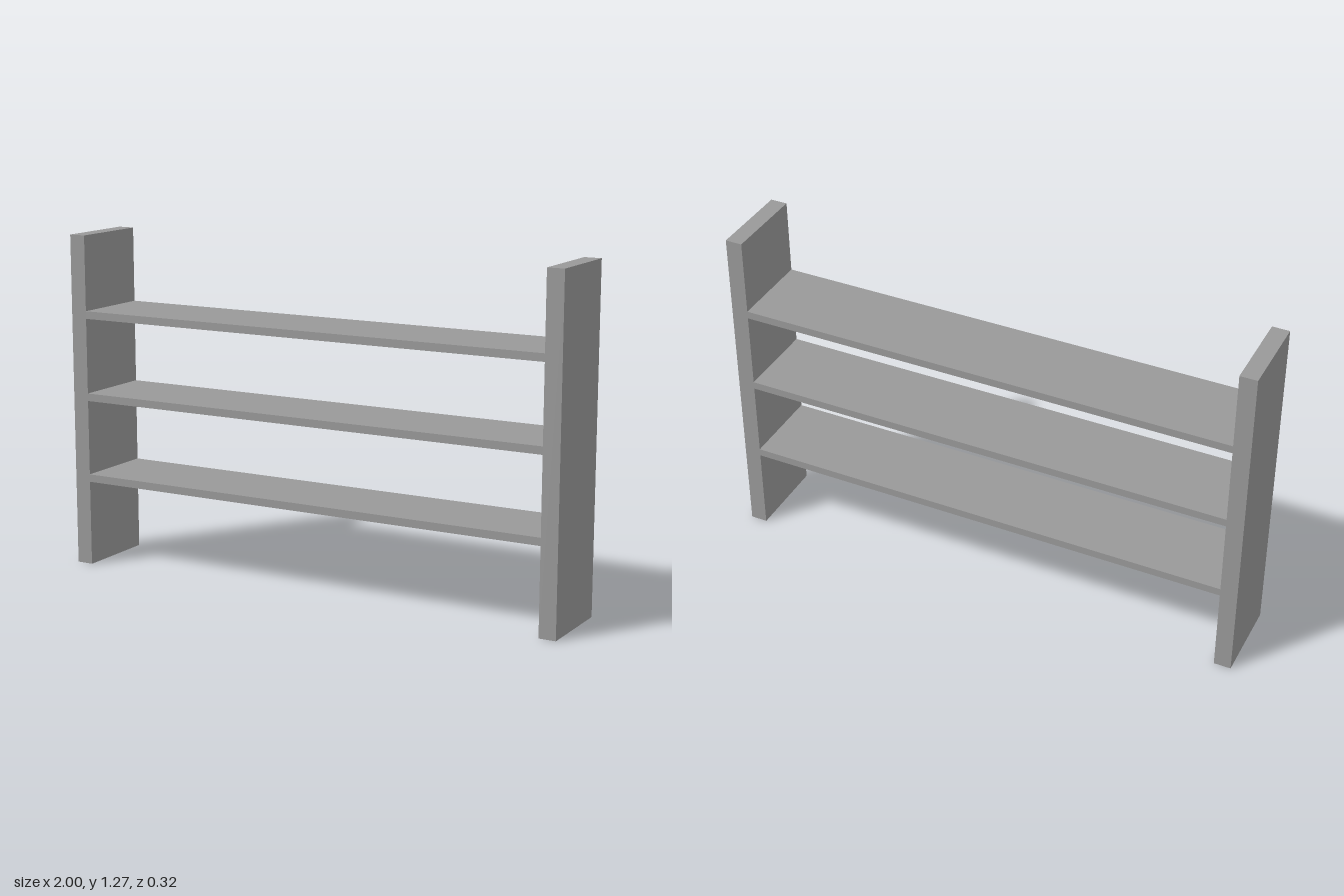
import * as THREE from 'three';

const HEIGHT = 1.27, DEPTH = 0.317, PANEL = 0.064, SHELF = 0.029;

export function createModel() {
  const group = new THREE.Group();
  const material = new THREE.MeshStandardMaterial({ color: 0x999999 });

  const addBoard = (name, width, height, x, y) => {
    const board = new THREE.Mesh(new THREE.BoxGeometry(width, height, DEPTH), material);
    board.name = name;
    board.position.set(x, y, 0);
    group.add(board);
  };

  // Upright end panels
  addBoard('leftPanel', PANEL, HEIGHT, 1 - PANEL / 2, HEIGHT / 2);
  addBoard('rightPanel', PANEL, HEIGHT, -1 + PANEL / 2, HEIGHT / 2);

  // Evenly spaced shelves spanning between the panels
  ['lowerShelf', 'middleShelf', 'upperShelf'].forEach((name, i) => {
    addBoard(name, 2 - 2 * PANEL, SHELF, 0, 0.34 + i * 0.315);
  });

  return group;
}
